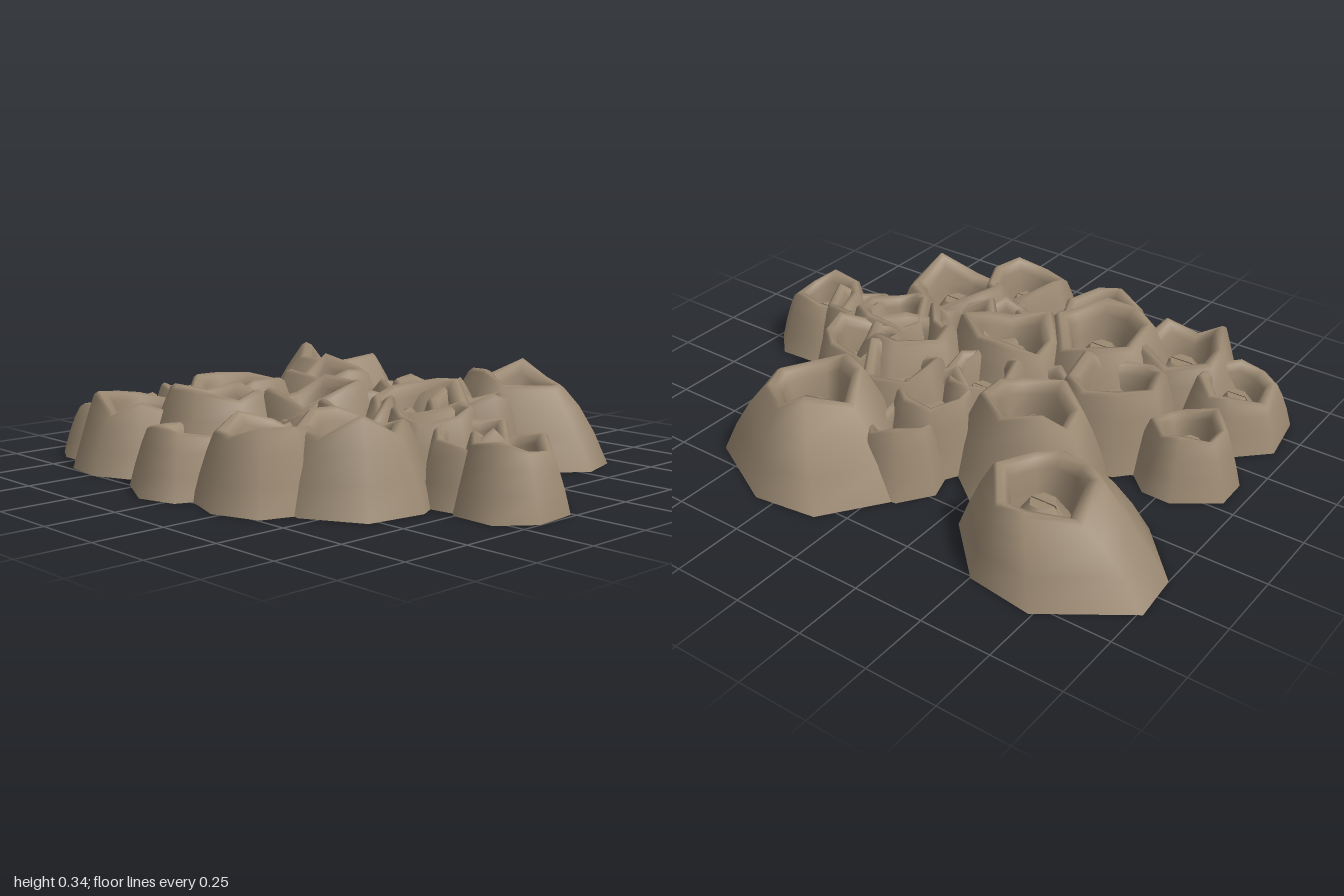
import * as THREE from 'three';

const SIDES = 8;
const shellMaterial = new THREE.MeshStandardMaterial({ color: 0x9b8972, side: THREE.DoubleSide });
shellMaterial.name = 'brown shell';

// base x, base z, base radius, height, turn in sides;
// the two large ones also have a depth factor and a lean of the mouth in x and z
const BARNACLES = [
  [-0.655, -0.49, 0.355, 0.3, -0.3, 0.87, 0.045, -0.04],
  [0.29, -0.555, 0.365, 0.315, 0.1, 0.78, 0.02, 0.025],
  [0.02, -0.44, 0.18, 0.23, 0.3],
  [-0.34, -0.19, 0.28, 0.31, 0.2],
  [-0.77, 0.11, 0.19, 0.21, 0.5],
  [-0.46, 0.15, 0.25, 0.27, 0.3],
  [-0.01, 0.16, 0.25, 0.31, 0.4],
  [0.3, -0.04, 0.28, 0.315, 0.2],
  [0.65, 0.09, 0.19, 0.24, 0.3],
  [0.82, 0.1, 0.195, 0.22, 0.5],
  [0.4, 0.37, 0.275, 0.29, -0.2],
  [0.22, 0.58, 0.22, 0.255, 0],
  [-0.25, 0.38, 0.28, 0.3, 0.4],
  [-0.51, 0.51, 0.25, 0.25, -0.15],
  [-0.76, 0.46, 0.2, 0.21, 0.4],
  [-0.1, 0.63, 0.21, 0.22, 0],
  [0.18, -0.24, 0.21, 0.3, 0.1],
  [-0.05, -0.08, 0.2, 0.28, 0.4],
  [0.01, -0.27, 0.19, 0.28, 0.2],
  [0.42, -0.16, 0.21, 0.29, 0.3],
  [0.47, 0.08, 0.2, 0.28, 0.1],
  [0.22, 0.18, 0.19, 0.28, 0.4],
  [0.05, 0.47, 0.18, 0.21, 0.2],
  [-0.2, 0.04, 0.17, 0.23, 0.3],
  [0.13, 0, 0.18, 0.27, 0.1],
  [0.12, 0.31, 0.16, 0.24, 0.4],
];

function seeded(seed) {
  let s = seed * 7919 + 17;
  return () => {
    s = (s * 16807) % 2147483647;
    return s / 2147483647;
  };
}

// closed-ring surface running from the base, over the jagged rim and down the throat
function shellGeometry({ base, rim, h, turn, depth, leanX, leanZ, rand }) {
  // share of lean, radius, height fraction, share of rim jaggedness
  const profile = [
    [0, base, 0, 0],
    [0.3, base * 0.68 + rim * 0.32, 0.36, 0.1],
    [0.65, base * 0.34 + rim * 0.66, 0.7, 0.5],
    [0.95, rim * 1.02, 0.96, 1],
    [1, rim * 0.92, 1, 1],
    [1, rim * 0.78, 0.97, 1],
    [1, rim * 0.68, 0.86, 0.8],
    [1, rim * 0.63, 0.62, 0.3],
    [1, rim * 0.57, 0.38, 0],
  ];
  const spokes = Array.from({ length: SIDES }, (_, i) => ({
    angle: ((turn + i + (i % 2) * (rand() - 0.5) * 0.7) / SIDES) * Math.PI * 2,
    bulge: (rand() - 0.5) * 0.18,
    peak: (rand() - 0.7) * 0.32,
  }));
  const pos = [], index = [];
  profile.forEach(([lean, radius, y, jag], j) => {
    const squash = THREE.MathUtils.lerp(depth, 1, lean);
    spokes.forEach(({ angle, bulge, peak }, i) => {
      // every other spoke keeps the exact base radius
      const r = radius * (1 + bulge * (i % 2 || jag));
      pos.push(leanX * lean + Math.cos(angle) * r, h * (y + peak * jag),
        leanZ * lean + Math.sin(angle) * r * squash);
      if (j === 0) return;
      const n = (i + 1) % SIDES;
      const a = (j - 1) * SIDES + i, b = (j - 1) * SIDES + n;
      const c = j * SIDES + i, d = j * SIDES + n;
      index.push(a, c, b, b, c, d);
    });
  });
  const g = new THREE.BufferGeometry();
  g.setAttribute('position', new THREE.Float32BufferAttribute(pos, 3));
  g.setIndex(index);
  g.computeVertexNormals();
  return g;
}

// two half-cone plates that close the mouth, with a narrow slit between them
function mouthPlates(rim, h) {
  const plates = new THREE.Group();
  plates.name = 'mouthPlates';
  for (const side of [1, -1]) {
    const z = side * rim * 0.015;
    const slope = new THREE.Mesh(
      new THREE.CylinderGeometry(rim * 0.25, rim * 0.6, h * 0.3, 3, 1, true,
        -side * Math.PI / 2, Math.PI), shellMaterial);
    slope.name = side > 0 ? 'frontMouthPlate' : 'backMouthPlate';
    slope.position.set(0, h * 0.52, z);

    // flat top of the plate
    const tip = new THREE.Mesh(
      new THREE.CircleGeometry(rim * 0.25, 3, side > 0 ? Math.PI : 0, Math.PI), shellMaterial);
    tip.name = 'mouthPlateTip';
    tip.rotation.x = -Math.PI / 2;
    tip.position.set(0, h * 0.67, z);
    plates.add(slope, tip);
  }
  return plates;
}

export function createModel() {
  const model = new THREE.Group();
  model.name = 'barnacleCluster';

  BARNACLES.forEach(([x, z, base, h, turn, depth = 1, leanX = 0, leanZ = 0], i) => {
    const barnacle = new THREE.Group();
    barnacle.name = `barnacle${i + 1}`;
    barnacle.position.set(x, 0, z);

    const rim = Math.min(base * 0.68, 0.175);
    const rand = seeded(i + 3);
    const shell = new THREE.Mesh(
      shellGeometry({ base, rim, h, turn, depth, leanX, leanZ, rand }), shellMaterial);
    shell.name = 'shell';

    const plates = mouthPlates(rim, h);
    plates.position.set(leanX, 0, leanZ);
    barnacle.add(shell, plates);
    model.add(barnacle);
  });
  return model;
}
